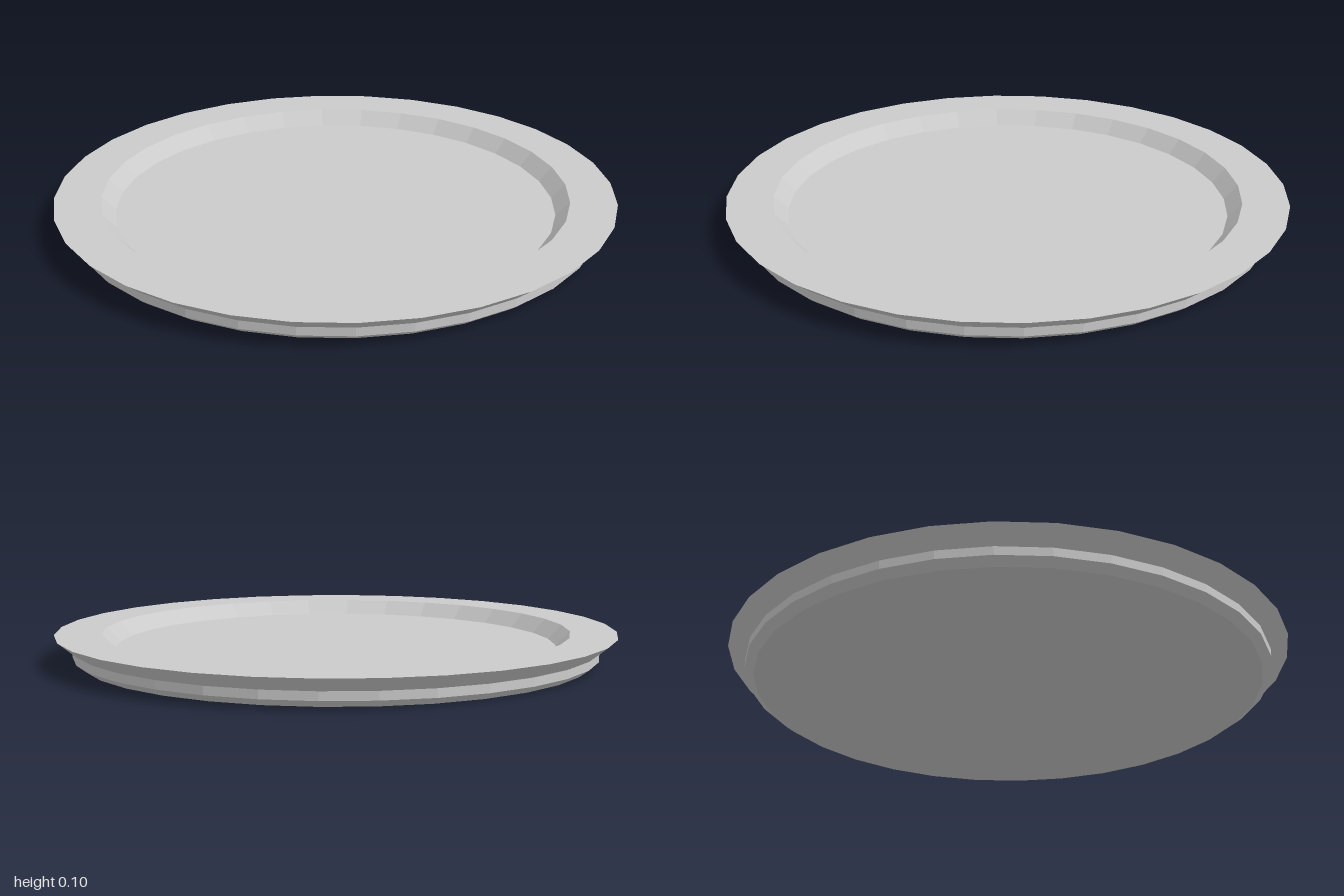
import * as THREE from 'three';

const SIDES = 32;

export function createModel() {
  const group = new THREE.Group();
  group.name = 'plate';
  const material = new THREE.MeshStandardMaterial({ color: 0xcccccc, flatShading: true });

  // Spins a profile of [radius, height] pairs around the y axis
  const addRing = (name, profile) => {
    const points = profile.map(([r, y]) => new THREE.Vector2(r, y));
    const mesh = new THREE.Mesh(new THREE.LatheGeometry(points, SIDES), material);
    mesh.name = name;
    group.add(mesh);
  };

  // Underside with a chamfered foot and a short upright band
  addRing('foot', [[0, 0], [0.905, 0], [0.937, 0.024], [0.937, 0.054]]);

  // Flared outer wall and flat rim
  addRing('rim', [[0.937, 0.054], [1, 0.104], [0.834, 0.104]]);

  // Sloping inner wall and sunken floor
  addRing('well', [[0.834, 0.104], [0.785, 0.053], [0, 0.053]]);

  return group;
}
